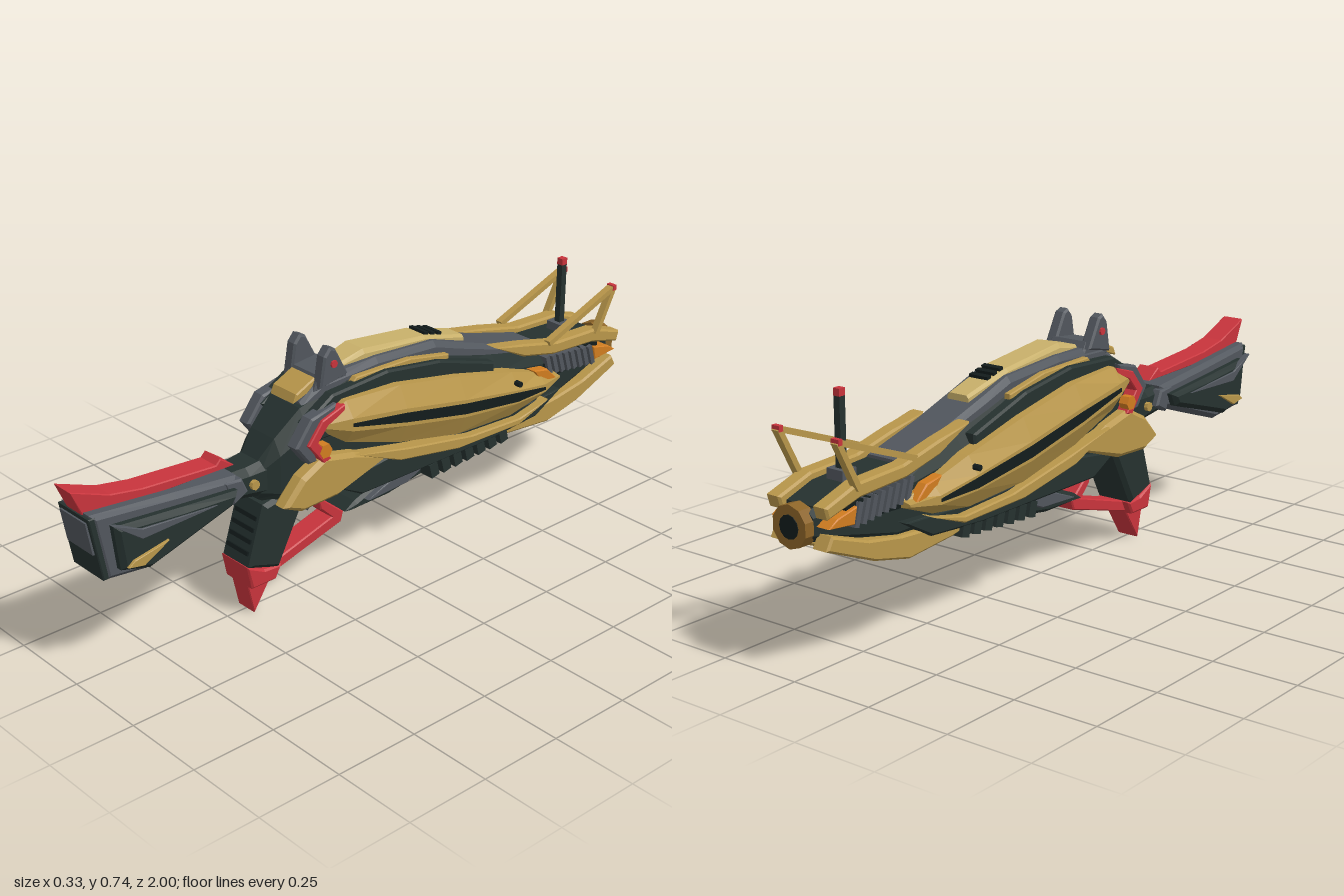
import * as THREE from 'three';

const colour = (name, hex) => {
  const m = new THREE.MeshStandardMaterial({ color: hex });
  m.name = name;
  m.flatShading = true;
  return m;
};

export function createModel() {
  const model = new THREE.Group();
  model.name = 'rifle';
  const gold = colour('gold', 0xb8964a), pale = colour('pale gold', 0xc8b06a), dark = colour('dark green grey', 0x25312f);
  const grey = colour('slate grey', 0x51565d), red = colour('red', 0xc8343c), orange = colour('orange', 0xd07c20);
  const black = colour('black', 0x131c1c), bronze = colour('bronze', 0x8c6428);

  const add = (name, geo, mat) => {
    const mesh = new THREE.Mesh(geo, mat);
    mesh.name = name;
    model.add(mesh);
    return mesh;
  };

  // Bevelled plate: outline in [z, y], spanning x0..x1
  const slab = (name, mat, pts, x0, x1, bevel = 0.006) => {
    const shape = new THREE.Shape(pts.map(p => new THREE.Vector2(p[0], p[1])));
    const geo = new THREE.ExtrudeGeometry(shape, {
      depth: x1 - x0 - 2 * bevel, bevelEnabled: bevel > 0, bevelThickness: bevel,
      bevelSize: bevel, bevelOffset: -bevel, bevelSegments: 1,
    });
    geo.rotateY(-Math.PI / 2);
    geo.translate(x1 - bevel, 0, 0);
    return add(name, geo, mat);
  };
  const slabPair = (name, mat, pts, x0, x1, bevel) => {
    slab(name + 'Left', mat, pts, x0, x1, bevel);
    slab(name + 'Right', mat, pts, -x1, -x0, bevel);
  };
  const center = (name, mat, pts, hw, bevel) => slab(name, mat, pts, -hw, hw, bevel);

  // Closed loft through rings of [x, y, z]
  const loft = (name, mat, rings) => {
    const n = rings[0].length, pos = [];
    const tri = (a, b, c) => pos.push(...a, ...b, ...c);
    for (let i = 0; i < rings.length - 1; i++) for (let j = 0; j < n; j++) {
      const k = (j + 1) % n, a = rings[i], b = rings[i + 1];
      tri(a[j], b[j], b[k]);
      tri(a[j], b[k], a[k]);
    }
    const first = rings[0], last = rings[rings.length - 1];
    for (let j = 1; j < n - 1; j++) {
      tri(first[0], first[j], first[j + 1]);
      tri(last[0], last[j + 1], last[j]);
    }
    // Turn the faces outward if the enclosed volume is negative
    let volume = 0;
    const o = new THREE.Vector3(...first[0]);
    const v = i => new THREE.Vector3().fromArray(pos, i).sub(o);
    for (let i = 0; i < pos.length; i += 9) volume += v(i).dot(v(i + 3).cross(v(i + 6)));
    if (volume < 0) for (let i = 0; i < pos.length; i += 9)
      for (let c = 0; c < 3; c++) [pos[i + 3 + c], pos[i + 6 + c]] = [pos[i + 6 + c], pos[i + 3 + c]];
    const geo = new THREE.BufferGeometry();
    geo.setAttribute('position', new THREE.Float32BufferAttribute(pos, 3));
    geo.computeVertexNormals();
    return add(name, geo, mat);
  };
  // Octagonal hull from stations [z, bottom, top, half width]
  const hull = (name, mat, stations, flat = 0.65) => loft(name, mat, stations.map(([z, b, t, w]) => {
    const c = (t - b) * 0.22, f = w * flat;
    return [[-f, b], [f, b], [w, b + c], [w, t - c], [f, t], [-f, t], [-w, t - c], [-w, b + c]].map(p => [...p, z]);
  }));
  const box = (name, mat, x, y, z, w, h, d, rx = 0) => {
    const m = add(name, new THREE.BoxGeometry(w, h, d), mat);
    m.position.set(x, y, z);
    m.rotation.x = rx;
    return m;
  };
  const disc = (name, mat, x, y, z, r, len, sides = 8) => {
    const m = add(name, new THREE.CylinderGeometry(r, r, len, sides), mat);
    m.rotation.z = Math.PI / 2;
    m.position.set(x, y, z);
  };

  // Main body and upper spine
  hull('body', dark, [
    [0.41, 0.35, 0.46, 0.05], [0.36, 0.32, 0.52, 0.075], [0.28, 0.31, 0.59, 0.095], [0.12, 0.29, 0.63, 0.1],
    [-0.2, 0.28, 0.61, 0.1], [-0.45, 0.28, 0.54, 0.095], [-0.7, 0.29, 0.48, 0.085], [-0.97, 0.37, 0.45, 0.055]]);
  hull('spine', grey, [
    [0.27, 0.55, 0.60, 0.06], [0.2, 0.56, 0.65, 0.068], [0, 0.58, 0.655, 0.068], [-0.22, 0.56, 0.64, 0.068],
    [-0.32, 0.53, 0.605, 0.068], [-0.47, 0.49, 0.555, 0.066], [-0.66, 0.45, 0.505, 0.06]], 0.8);
  hull('topCowl', pale, [
    [0.12, 0.62, 0.66, 0.036], [0.03, 0.62, 0.682, 0.044], [-0.2, 0.61, 0.655, 0.044], [-0.36, 0.575, 0.61, 0.036]], 0.8);
  for (let i = 0; i < 3; i++) box('cowlVent', black, 0, 0.652 - i * 0.007, -0.215 - i * 0.026, 0.064, 0.014, 0.015, -0.2);
  center('rearTopPlate', gold, [[0.29, 0.60], [0.28, 0.625], [0.215, 0.655], [0.2, 0.63]], 0.05, 0.004);
  slabPair('upperRail', dark, [[0.3, 0.56], [0.2, 0.62], [0, 0.63], [-0.2, 0.60], [-0.42, 0.53], [-0.42, 0.48], [0.25, 0.5]], 0.07, 0.108);
  slabPair('railTrim', gold, [[0.13, 0.605], [0.1, 0.635], [-0.1, 0.63], [-0.25, 0.60], [-0.25, 0.585]], 0.068, 0.09, 0.003);

  // Rear sight
  center('rearSightBase', grey, [[0.23, 0.62], [0.21, 0.662], [0.13, 0.67], [0.1, 0.62]], 0.065);
  slabPair('rearSightFin', grey, [[0.22, 0.63], [0.205, 0.72], [0.185, 0.743], [0.165, 0.735], [0.12, 0.65]], 0.043, 0.08);
  for (const s of [-1, 1]) disc('sightLamp', red, s * 0.081, 0.695, 0.175, 0.011, 0.01);

  // Bulging side shells with a long slot
  const shell = [[0.25, 0.53, 0.565, 0.128], [0.17, 0.475, 0.6, 0.155], [-0.02, 0.415, 0.59, 0.164], [-0.25, 0.365, 0.545, 0.164],
    [-0.47, 0.35, 0.49, 0.158], [-0.6, 0.362, 0.445, 0.145], [-0.69, 0.395, 0.415, 0.12]];
  for (const s of [-1, 1]) {
    loft('sideShell', gold, shell.map(([z, b, t, x]) => {
      const h = t - b;
      return [[0.085, b], [x - 0.03, b], [x, b + h * 0.35], [x, b + h * 0.65], [x - 0.03, t], [0.085, t]].map(p => [s * p[0], p[1], z]);
    }));
    loft('shellSlot', black, shell.slice(1, 6).map(([z, b, t, x], i) => {
      const mid = b + (t - b) * 0.5, h = [0.005, 0.014, 0.016, 0.014, 0.004][i];
      return [[x - 0.004, mid - h], [x + 0.003, mid - h], [x + 0.003, mid + h], [x - 0.004, mid + h]].map(p => [s * p[0], p[1], z]);
    }));
    disc('shellBolt', black, s * 0.157, 0.462, -0.47, 0.009, 0.02);
  }
  slabPair('shellFrontClip', orange, [[-0.57, 0.46], [-0.63, 0.45], [-0.67, 0.41], [-0.61, 0.41]], 0.09, 0.125, 0.004);

  // Red chevrons and rear collars
  slabPair('redChevron', red, [[0.31, 0.51], [0.26, 0.57], [0.18, 0.595], [0.18, 0.575], [0.24, 0.55], [0.275, 0.51], [0.23, 0.45], [0.255, 0.44]], 0.09, 0.134, 0.003);
  slabPair('rearCollar', grey, [[0.345, 0.51], [0.29, 0.58], [0.2, 0.6], [0.22, 0.55], [0.29, 0.51], [0.27, 0.45], [0.3, 0.45]], 0.08, 0.124);

  // Lower rear wings and lower side strips
  slabPair('lowerWing', gold, [[0.395, 0.35], [0.33, 0.42], [0.25, 0.46], [0.14, 0.435], [0.02, 0.385], [0.2, 0.325], [0.33, 0.32]], 0.08, 0.135, 0.012);
  slabPair('lowerStrip', gold, [[0.14, 0.43], [-0.05, 0.39], [-0.3, 0.345], [-0.5, 0.335], [-0.62, 0.36], [-0.5, 0.315], [-0.25, 0.32], [-0.02, 0.36]], 0.09, 0.142, 0.004);
  slabPair('lowerFairing', dark, [[0.2, 0.34], [0, 0.37], [-0.4, 0.35], [-0.7, 0.36], [-0.6, 0.3], [-0.4, 0.285], [0.1, 0.285]], 0.07, 0.115);
  for (const s of [-1, 1]) disc('wingPin', orange, s * 0.12, 0.478, 0.25, 0.022, 0.03, 6);

  // Front jaws
  slabPair('upperJaw', gold, [[-0.43, 0.567], [-0.55, 0.545], [-0.69, 0.512], [-0.86, 0.505], [-0.975, 0.468], [-0.965, 0.435], [-0.85, 0.465], [-0.68, 0.475], [-0.55, 0.505]], 0.055, 0.103);
  slabPair('lowerJaw', gold, [[-0.36, 0.30], [-0.5, 0.27], [-0.67, 0.255], [-0.8, 0.285], [-0.97, 0.355], [-0.95, 0.39], [-0.82, 0.345], [-0.7, 0.325], [-0.55, 0.315]], 0.045, 0.1);
  center('lowerKeel', gold, [[-0.5, 0.285], [-0.67, 0.265], [-0.8, 0.29], [-0.9, 0.34], [-0.7, 0.33]], 0.05);
  center('upperDeck', dark, [[-0.6, 0.5], [-0.86, 0.485], [-0.95, 0.455], [-0.95, 0.42], [-0.6, 0.44]], 0.06);

  // Side cooling ribs with orange ends
  for (const s of [-1, 1]) {
    for (let i = 0; i < 8; i++) box('coolingRib', grey, s * 0.082, 0.442 - i * 0.003, -0.665 - i * 0.027, 0.035, 0.065, 0.015, 0.3);
    box('ribBed', black, s * 0.078, 0.425, -0.77, 0.02, 0.055, 0.24, 0.04);
  }
  slabPair('orangeFin', orange, [[-0.86, 0.445], [-0.93, 0.43], [-0.96, 0.41], [-0.87, 0.4]], 0.05, 0.1, 0.003);

  // Muzzle
  const muzzle = add('muzzle', new THREE.CylinderGeometry(0.058, 0.058, 0.04, 10), bronze);
  muzzle.rotation.x = Math.PI / 2;
  muzzle.position.set(0, 0.408, -0.978);
  const bore = add('muzzleRing', new THREE.TorusGeometry(0.04, 0.011, 6, 12), gold);
  bore.position.set(0, 0.408, -0.987);
  const hole = add('muzzleBore', new THREE.CylinderGeometry(0.032, 0.032, 0.01, 12), black);
  hole.rotation.x = Math.PI / 2;
  hole.position.set(0, 0.408, -0.995);

  // Front sight frames and post
  const strut = (name, x, a, b) => {
    const dz = b[0] - a[0], dy = b[1] - a[1];
    box(name, gold, x, (a[1] + b[1]) / 2, (a[0] + b[0]) / 2, 0.022, 0.016, Math.hypot(dz, dy), -Math.atan2(dy, dz));
  };
  for (const s of [-1, 1]) {
    strut('sightStrut', s * 0.1, [-0.65, 0.52], [-0.93, 0.625]);
    strut('sightBrace', s * 0.1, [-0.86, 0.49], [-0.93, 0.625]);
    box('sightTip', red, s * 0.1, 0.625, -0.927, 0.026, 0.016, 0.014);
  }
  box('frontPost', dark, 0, 0.59, -0.81, 0.02, 0.23, 0.02);
  box('postFoot', grey, 0, 0.5, -0.81, 0.055, 0.03, 0.05);
  box('postTip', red, 0, 0.71, -0.81, 0.021, 0.02, 0.021);

  // Underslung fore-end with lugs
  center('foreEnd', dark, [[0.115, 0.212], [0.08, 0.235], [-0.1, 0.3], [-0.5, 0.31], [-0.5, 0.268], [-0.2, 0.235], [-0.05, 0.212]], 0.065, 0.01);
  slabPair('foreEndPlate', grey, [[0.05, 0.235], [-0.1, 0.295], [-0.48, 0.305], [-0.48, 0.29], [-0.17, 0.27], [-0.1, 0.24]], 0.055, 0.085, 0.004);
  for (const s of [-1, 1]) for (let i = 0; i < 7; i++)
    box('foreEndLug', dark, s * 0.085, 0.264 + i * 0.003, -0.18 - i * 0.047, 0.055, 0.045, 0.03, 0.25);

  // Grip, pommel, guard and trigger
  center('grip', dark, [[0.41, 0.34], [0.465, 0.165], [0.36, 0.13], [0.265, 0.31], [0.3, 0.36]], 0.066, 0.012);
  for (let i = 0; i < 4; i++) box('gripRib', black, 0, 0.2 + i * 0.032, 0.452 - i * 0.011, 0.09, 0.012, 0.016, -0.3);
  center('pommelCollar', red, [[0.47, 0.168], [0.455, 0.095], [0.37, 0.095], [0.35, 0.135], [0.41, 0.14]], 0.06);
  center('pommelSpike', red, [[0.465, 0.15], [0.432, 0.002], [0.36, 0.11], [0.39, 0.14]], 0.036, 0.003);
  center('triggerGuard', red, [[0.39, 0.095], [0.11, 0.17], [0.1, 0.2], [0.165, 0.255], [0.195, 0.28], [0.185, 0.235], [0.145, 0.197], [0.36, 0.135]], 0.035, 0.004);
  center('trigger', grey, [[0.24, 0.31], [0.235, 0.26], [0.215, 0.235], [0.205, 0.245], [0.215, 0.31]], 0.015, 0.003);

  // Neck and stock
  hull('neck', dark, [[0.56, 0.385, 0.465, 0.055], [0.45, 0.37, 0.46, 0.055], [0.36, 0.35, 0.47, 0.06]]);
  slabPair('neckClamp', grey, [[0.55, 0.46], [0.49, 0.455], [0.47, 0.41], [0.52, 0.385]], 0.04, 0.075);
  for (const s of [-1, 1]) disc('neckBolt', gold, s * 0.058, 0.415, 0.44, 0.014, 0.02);
  center('stock', grey, [[0.965, 0.512], [0.93, 0.315], [0.8, 0.3], [0.52, 0.395], [0.5, 0.465], [0.7, 0.485]], 0.072, 0.014);
  slabPair('stockCheek', dark, [[0.915, 0.475], [0.9, 0.345], [0.81, 0.32], [0.54, 0.4], [0.52, 0.44], [0.7, 0.455]], 0.06, 0.104, 0.014);
  slabPair('stockRidge', grey, [[0.93, 0.49], [0.84, 0.42], [0.6, 0.43], [0.84, 0.45]], 0.09, 0.109, 0.002);
  slabPair('stockInlay', gold, [[0.89, 0.355], [0.87, 0.37], [0.76, 0.39], [0.84, 0.345]], 0.1, 0.113, 0.002);
  center('buttPlate', dark, [[0.972, 0.505], [0.938, 0.318], [0.92, 0.318], [0.95, 0.505]], 0.068, 0.003);
  center('buttPanel', grey, [[0.975, 0.492], [0.958, 0.395], [0.95, 0.395], [0.965, 0.492]], 0.056, 0);

  // Red stock comb
  center('stockComb', red, [[1, 0.58], [0.965, 0.5], [0.8, 0.485], [0.485, 0.48], [0.53, 0.513], [0.545, 0.498], [0.78, 0.515], [0.88, 0.533]], 0.035, 0.003);

  return model;
}
